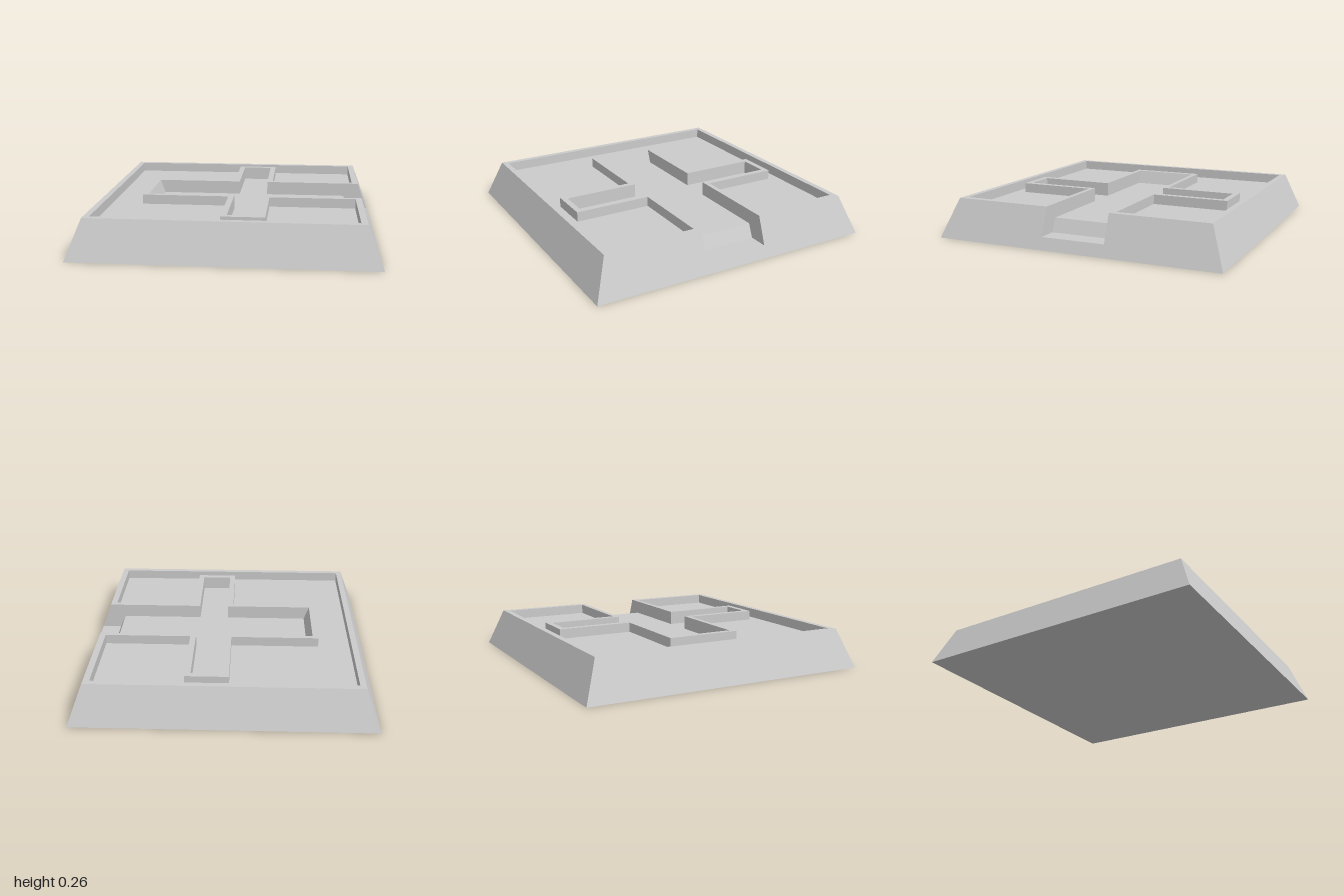
import * as THREE from 'three';
import { mergeGeometries } from 'three/addons/utils/BufferGeometryUtils.js';

const H = 0.265;        // top of the block
const MOAT = 0.198;     // floor of the outer recess
const FLOOR = 0.17;     // floor of the cross channel
const SPOUT = 0.08;     // floor of the outlet
const W = 0.222;        // half width of the channel
const edge = y => 1 - 0.1 * y / H; // half width of the sloping block at height y

// Flat convex panel, corners counter-clockwise seen from its front
function panel(...corners) {
  const pos = [];
  for (let i = 1; i < corners.length - 1; i++) pos.push(...corners[0], ...corners[i], ...corners[i + 1]);
  const g = new THREE.BufferGeometry();
  g.setAttribute('position', new THREE.Float32BufferAttribute(pos, 3));
  g.computeVertexNormals();
  return g;
}

// A panel and its mirror image across z = 0
const mirrored = (...c) => [panel(...c), panel(...c.map(([x, y, z]) => [x, y, -z]).reverse())];

// Horizontal upward face from an [x, z] outline with optional hole
function flat(outline, y, hole) {
  const toPoints = list => list.map(([x, z]) => new THREE.Vector2(x, -z));
  const shape = new THREE.Shape(toPoints(outline));
  if (hole) shape.holes.push(new THREE.Path(toPoints(hole)));
  const g = new THREE.ShapeGeometry(shape).toNonIndexed();
  g.deleteAttribute('uv');
  return g.rotateX(-Math.PI / 2).translate(0, y, 0);
}

// Corners of an upright wall between two [x, z] points
const wall = ([ax, az], [bx, bz], low) => [[ax, low, az], [bx, low, bz], [bx, H, bz], [ax, H, az]];

// Complete a back-half outline with its mirrored front half
const withMirror = half => [...half, ...half.map(([x, z]) => [x, -z]).reverse()];

export function createModel() {
  const group = new THREE.Group();
  const material = new THREE.MeshStandardMaterial({ color: 0xcccccc, flatShading: true });
  const add = (name, parts) => {
    const mesh = new THREE.Mesh(mergeGeometries(parts), material);
    mesh.name = name;
    group.add(mesh);
  };

  // Plan outlines: the C-shaped recess and the cross channel
  const moat = withMirror([
    [-0.86, -0.86], [0.857, -0.86], [0.857, -0.255], [0.26, -0.255],
    [0.26, -0.785], [-0.03, -0.785], [-0.03, -0.255], [-0.64, -0.255],
  ].reverse()).reverse();
  const arm = [[0.01, -W], [0.01, -0.745], [0.22, -0.745], [0.22, -W]];
  const cross = (left, right) => withMirror([[left, -W], ...arm, [right, -W]]);

  // Sloping block, cut by the outlet on its right side
  const t = edge(H), s = edge(SPOUT);
  add('block', [
    panel([-1, 0, -1], [1, 0, -1], [1, 0, 1], [-1, 0, 1]),
    ...mirrored([-1, 0, 1], [1, 0, 1], [t, H, t], [-t, H, t]),
    panel([-1, 0, -1], [-1, 0, 1], [-t, H, t], [-t, H, -t]),
    panel([1, 0, 1], [1, 0, -1], [s, SPOUT, -s], [s, SPOUT, s]),
    ...mirrored([s, SPOUT, s], [s, SPOUT, W], [t, H, W], [t, H, t]),
  ]);

  // Top of the rim and of the wall round the cross
  const top = [[-t, -t], [t, -t], ...cross(-0.6, t).slice(0, 6).reverse(),
    ...cross(-0.6, t).slice(6).reverse(), [t, t], [-t, t]];
  add('rimTop', [flat(top, H, moat)]);

  // Outer recess
  add('outerRecess', [
    flat(moat, MOAT),
    ...moat.map((p, i) => panel(...wall(p, moat[(i + 1) % moat.length], MOAT))),
  ]);

  // Cross channel with a ramp at its closed end
  add('crossChannel', [
    flat(cross(-0.565, 0.795), FLOOR),
    panel([-0.565, FLOOR, W], [-0.565, FLOOR, -W], [-0.6, H, -W], [-0.6, H, W]),
    ...mirrored([-0.565, FLOOR, -W], [0.01, FLOOR, -W], [0.01, H, -W], [-0.6, H, -W]),
    ...arm.slice(1).flatMap((p, i) => mirrored(...wall(arm[i], p, FLOOR))),
    ...mirrored(...wall([0.22, -W], [0.795, -W], FLOOR)),
  ]);

  // Lower outlet step through the rim
  add('outlet', [
    panel([0.835, SPOUT, W], [0.835, SPOUT, -W], [0.795, FLOOR, -W], [0.795, FLOOR, W]),
    panel([0.835, SPOUT, W], [s, SPOUT, W], [s, SPOUT, -W], [0.835, SPOUT, -W]),
    ...mirrored([0.795, FLOOR, -W], [0.835, SPOUT, -W], [s, SPOUT, -W], [t, H, -W], [0.795, H, -W]),
  ]);

  return group;
}
